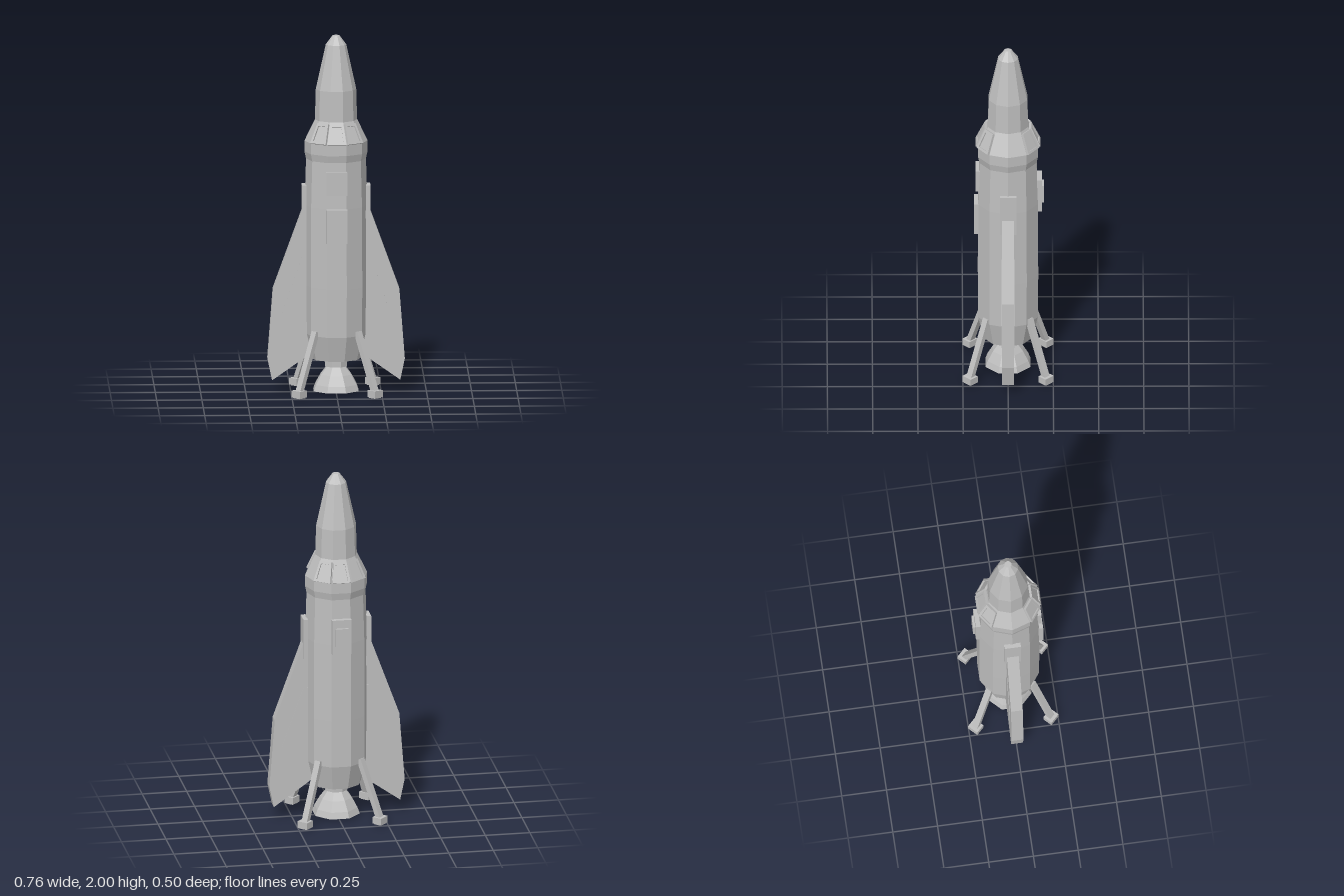
import * as THREE from 'three';

const hull = new THREE.MeshStandardMaterial({ color: 0xbebebe, flatShading: true, side: THREE.DoubleSide });
hull.name = 'hull grey';

function add(parent, name, geometry, x = 0, y = 0, z = 0) {
  const m = new THREE.Mesh(geometry, hull);
  m.name = name;
  m.position.set(x, y, z);
  parent.add(m);
  return m;
}

const vec = (pts) => pts.map(([a, b]) => new THREE.Vector2(a, b));

// Faceted turned part with a flat side facing the front
const turned = (pts, sides) => new THREE.LatheGeometry(vec(pts), sides, Math.PI / sides);

// Flat plate of even thickness, centred on z = 0
function plate(pts, depth, hole) {
  const shape = new THREE.Shape(vec(pts));
  if (hole) shape.holes.push(new THREE.Path(vec(hole)));
  return new THREE.ExtrudeGeometry(shape, { depth, bevelEnabled: false }).translate(0, 0, -depth / 2);
}

const trapezoid = (bottom, top, y0, y1) => [[-bottom, y0], [bottom, y0], [top, y1], [-top, y1]];

export function createModel() {
  const rocket = new THREE.Group();
  rocket.name = 'rocket';

  // Ten-sided fuselage and nose
  add(rocket, 'fuselage', turned([
    [0, 0.19], [0.14, 0.19], [0.174, 0.33], [0.176, 0.6], [0.174, 1.05], [0.166, 1.31],
    [0.175, 1.35], [0.175, 1.41], [0.117, 1.53], [0.112, 1.7], [0.057, 1.95], [0.02, 2], [0, 2],
  ], 10));

  // Engine neck and hollow eight-sided bell
  add(rocket, 'engineNeck', turned([[0, 0.145], [0.066, 0.145], [0.066, 0.2], [0, 0.2]], 8));
  add(rocket, 'engineBell', turned([
    [0, 0.15], [0.05, 0.15], [0.09, 0.1], [0.122, 0.045], [0.135, 0.01],
    [0.118, 0.01], [0.105, 0.045], [0.075, 0.095], [0, 0.125],
  ], 8));

  // Cockpit windows: three at the front, three at the back
  const tilt = -Math.atan2(0.055, 0.12);
  for (const side of [0, Math.PI]) {
    for (const turn of [-1, 0, 1]) {
      const mount = new THREE.Group();
      mount.name = 'window';
      mount.rotation.y = side + turn * Math.PI / 5;
      const face = new THREE.Group();
      face.position.set(0, 1.465, 0.143);
      face.rotation.x = tilt;
      add(face, 'windowFrame', plate(
        trapezoid(0.052, 0.036, -0.06, 0.058), 0.024,
        trapezoid(0.036, 0.026, -0.047, 0.042),
      ));
      add(face, 'windowPane', plate(trapezoid(0.038, 0.028, -0.05, 0.045), 0.008));
      mount.add(face);
      rocket.add(mount);
    }
  }

  // Hatches and equipment panels
  const box = (w, h, d) => new THREE.BoxGeometry(w, h, d);
  add(rocket, 'frontHatch', box(0.114, 0.19, 0.03), 0, 0.955, 0.174);
  add(rocket, 'frontUpperPanel', box(0.114, 0.13, 0.025), 0, 1.195, 0.167);
  add(rocket, 'backHatch', box(0.108, 0.2, 0.03), 0, 1.1, -0.172);
  add(rocket, 'backHatchPlate', box(0.072, 0.105, 0.018), 0, 1.1, -0.191);

  for (const s of [-1, 1]) {
    add(rocket, 'sidePanel', box(0.025, 0.235, 0.092), s * 0.1775, 1.047, 0);

    // Swept fin with a slightly raised root panel
    const fin = new THREE.Group();
    fin.name = 'fin';
    if (s < 0) fin.rotation.y = Math.PI;
    add(fin, 'finBlade', plate([
      [0.12, 0.24], [0.17, 0.2], [0.355, 0.07], [0.38, 0.19], [0.35, 0.58], [0.19, 1.02], [0.12, 1.02],
    ], 0.066));
    add(fin, 'finRootPanel', plate([
      [0.14, 0.28], [0.31, 0.28], [0.31, 0.42], [0.19, 0.76], [0.14, 0.76],
    ], 0.071));
    rocket.add(fin);
  }

  // Four diagonal landing legs
  for (let i = 0; i < 4; i++) {
    const leg = new THREE.Group();
    leg.name = 'landingLeg';
    leg.rotation.y = Math.PI / 4 + i * Math.PI / 2;
    const top = new THREE.Vector2(0.165, 0.355);
    const foot = new THREE.Vector2(0.295, 0.035);
    const strut = add(leg, 'strut', box(0.036, top.distanceTo(foot), 0.028),
      0, (top.y + foot.y) / 2, (top.x + foot.x) / 2);
    strut.rotation.x = -Math.atan2(foot.x - top.x, top.y - foot.y);
    add(leg, 'footPad', box(0.064, 0.038, 0.056), 0, 0.024, 0.297);
    add(leg, 'footSole', box(0.05, 0.01, 0.045), 0, 0.005, 0.297);
    rocket.add(leg);
  }
  return rocket;
}
